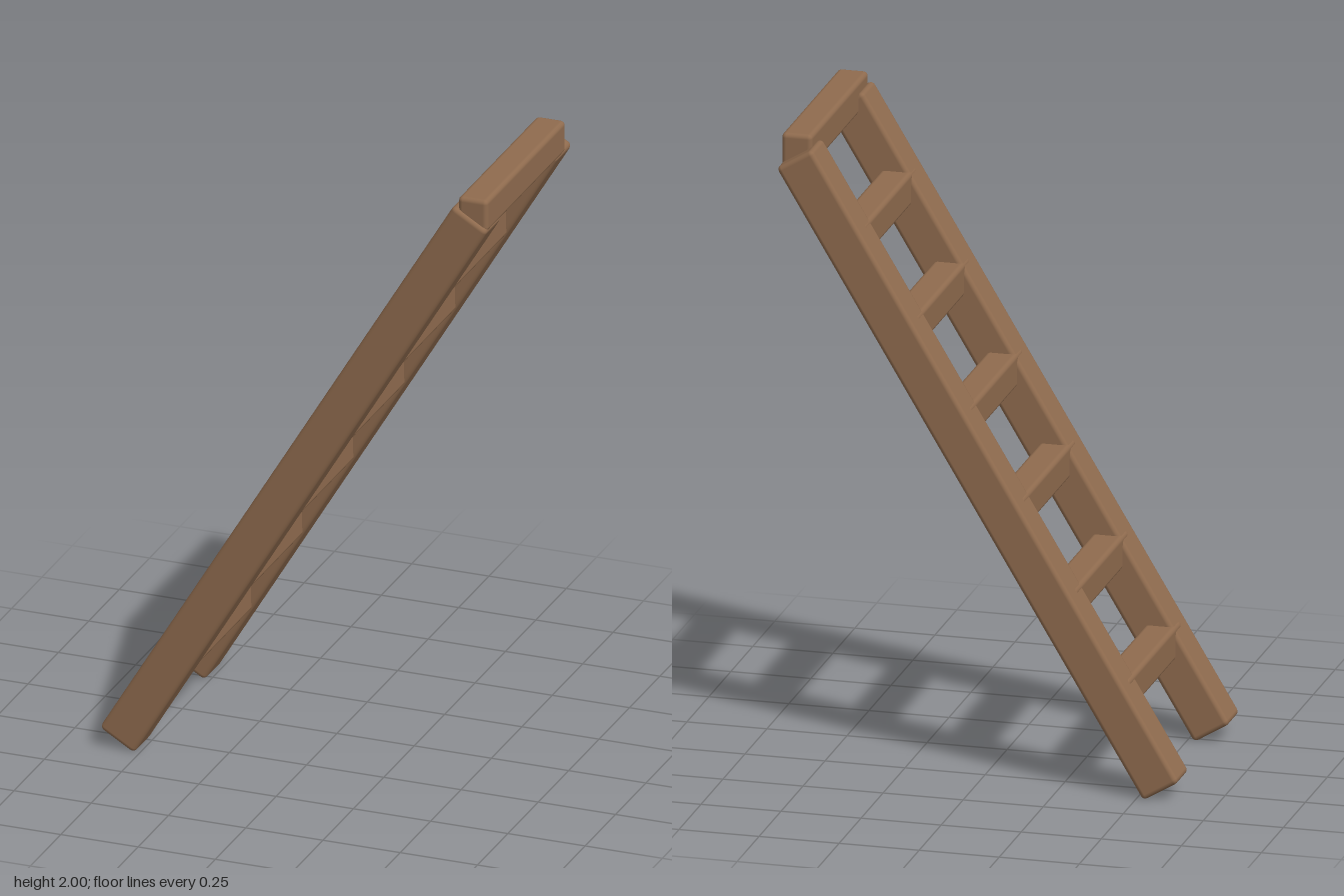
import * as THREE from 'three';
import { RoundedBoxGeometry } from 'three/addons/geometries/RoundedBoxGeometry.js';

export function createModel() {
  const ladder = new THREE.Group();
  ladder.name = 'ladder';
  const wood = new THREE.MeshStandardMaterial({ color: 0x8f6b4e });
  wood.name = 'brown wood';

  // A timber with softened edges
  const beam = (name, size, position, bevel = 0.015) => {
    const mesh = new THREE.Mesh(new RoundedBoxGeometry(...size, 2, bevel), wood);
    mesh.name = name;
    mesh.position.set(...position);
    ladder.add(mesh);
    return mesh;
  };

  // Two leaning side rails
  const lean = THREE.MathUtils.degToRad(31);
  for (const side of [-1, 1]) {
    const rail = beam(side > 0 ? 'frontRail' : 'backRail', [0.13, 2.225, 0.13], [-0.003, 0.983, side * 0.29]);
    rail.rotation.z = -lean;
  }

  // Six level rungs, with their ends set into the rails
  for (let i = 0; i < 6; i++) {
    beam(`rung${i + 1}`, [0.098, 0.106, 0.6], [-0.415 + i * 0.165, 0.304 + i * 0.274, 0]);
  }

  // Top bar resting across the rail ends, slightly off-centre
  beam('topBar', [0.096, 0.105, 0.65], [0.574, 1.9475, 0.02]);

  return ladder;
}
